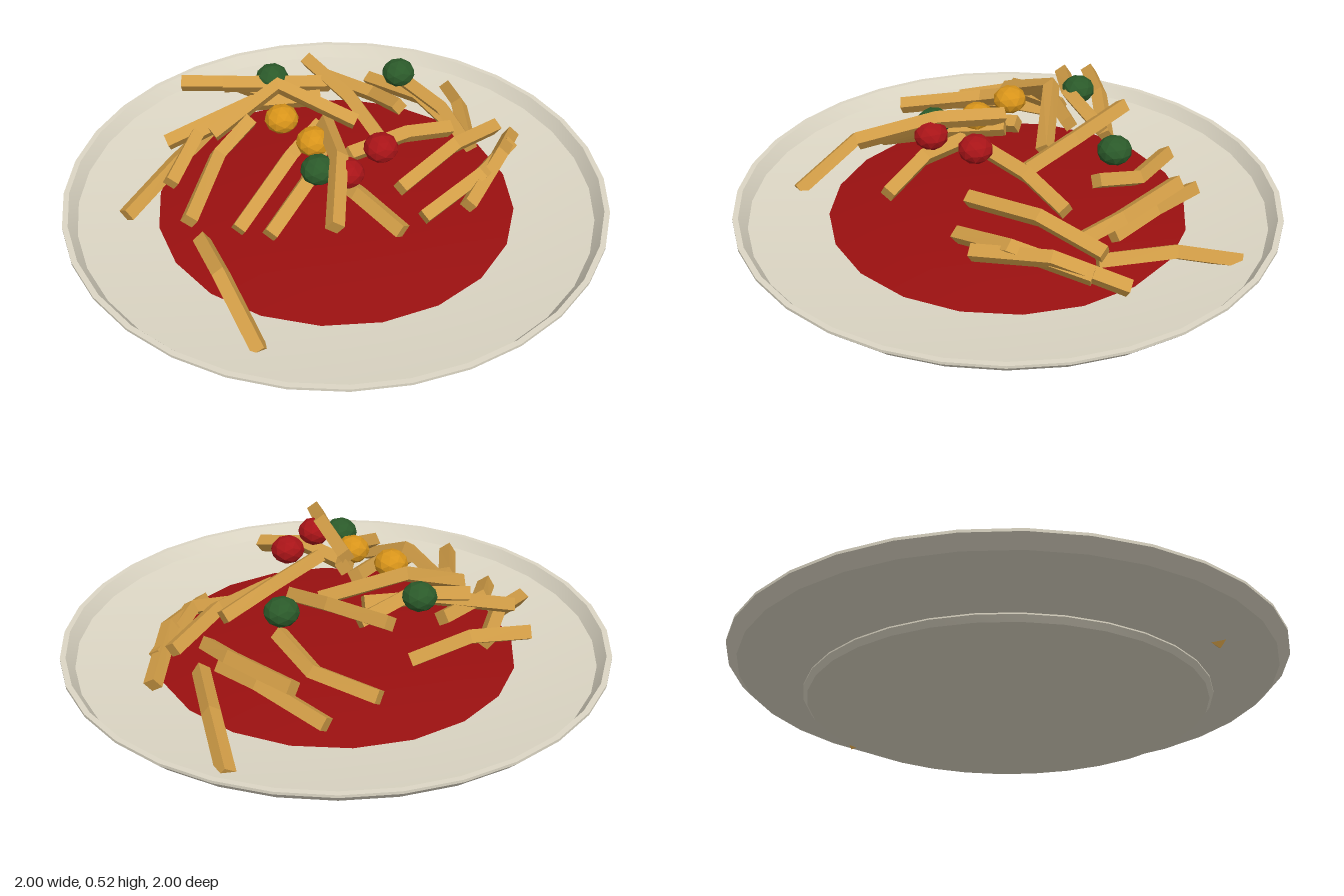
import * as THREE from 'three';
import { toCreasedNormals } from 'three/addons/utils/BufferGeometryUtils.js';

const material = (name, color, extra = {}) => {
  const m = new THREE.MeshStandardMaterial({ color, ...extra });
  m.name = name;
  return m;
};

const lathe = (points, segments) => toCreasedNormals(
  new THREE.LatheGeometry(points.map(([r, y]) => new THREE.Vector2(r, y)), segments), 0.45);

// Bent bar with a diamond cross-section, mitred along its path and capped at both ends
function barGeometry(path, radius) {
  const points = path.map((p) => new THREE.Vector3(...p));
  const last = points.length - 1;
  const up = new THREE.Vector3(0, 1, 0);
  const positions = [];
  const index = [];
  points.forEach((p, i) => {
    const dir = points[Math.min(i + 1, last)].clone().sub(points[Math.max(i - 1, 0)]).normalize();
    const side = dir.clone().cross(up).normalize();
    const top = side.clone().cross(dir);
    for (let k = 0; k < 4; k++) {
      const a = k * Math.PI / 2 + 0.2;
      const c = p.clone().addScaledVector(side, radius * Math.cos(a)).addScaledVector(top, radius * Math.sin(a));
      positions.push(c.x, c.y, c.z);
    }
  });
  for (let i = 0; i < last; i++) {
    for (let k = 0; k < 4; k++) {
      const a = i * 4 + k, b = i * 4 + (k + 1) % 4;
      index.push(a, a + 4, b + 4, a, b + 4, b);
    }
  }
  const e = last * 4;
  index.push(0, 1, 2, 0, 2, 3, e, e + 2, e + 1, e, e + 3, e + 2);
  const geometry = new THREE.BufferGeometry();
  geometry.setAttribute('position', new THREE.Float32BufferAttribute(positions, 3));
  geometry.setIndex(index);
  const flat = geometry.toNonIndexed();
  flat.computeVertexNormals();
  return flat;
}

// Paths of the noodles, grouped by the side of the plate they lie on
const backLeftNoodles = [
  [[0, 0.43, -0.46], [0.11, 0.40, -0.21], [0.17, 0.35, 0]],
  [[0.10, 0.25, -0.60], [0.25, 0.27, -0.40], [0.30, 0.33, -0.21]],
  [[0.29, 0.20, -0.61], [0.43, 0.25, -0.37], [0.50, 0.23, -0.18]],
  [[0.36, 0.29, -0.50], [0.48, 0.28, -0.22], [0.51, 0.25, -0.05]],
  [[0.63, 0.10, -0.61], [0.60, 0.18, -0.37], [0.55, 0.18, -0.10]],
];
const frontLeftNoodles = [
  [[0.01, 0.41, 0.14], [0.25, 0.38, 0.03], [0.44, 0.33, -0.03]],
  [[0.18, 0.29, 0.22], [0.43, 0.32, 0.06], [0.64, 0.27, -0.08]],
  [[0.25, 0.20, 0.29], [0.49, 0.27, 0.19], [0.68, 0.22, -0.02]],
  [[0.41, 0.23, 0.30], [0.60, 0.27, 0.09], [0.73, 0.18, -0.13]],
];
const backRightNoodles = [
  [[-0.48, 0.34, -0.55], [-0.28, 0.34, -0.50], [-0.09, 0.26, -0.44]],
  [[-0.42, 0.22, -0.37], [-0.56, 0.23, -0.20], [-0.77, 0.16, -0.02]],
  [[-0.34, 0.43, -0.37], [-0.15, 0.44, -0.31], [0.06, 0.39, -0.34]],
  [[-0.58, 0.28, -0.26], [-0.25, 0.39, -0.28], [0, 0.40, -0.24]],
  [[-0.60, 0.26, -0.04], [-0.47, 0.32, -0.23], [-0.26, 0.33, -0.33]],
  [[-0.42, 0.36, -0.16], [-0.16, 0.48, -0.24], [0.10, 0.37, -0.10]],
];
const frontRightNoodles = [
  [[-0.57, 0.29, 0.22], [-0.42, 0.34, -0.06], [-0.28, 0.40, -0.16]],
  [[-0.53, 0.18, 0.20], [-0.50, 0.22, 0.43], [-0.42, 0.09, 0.69]],
  [[-0.41, 0.26, 0.27], [-0.18, 0.38, 0.06], [-0.05, 0.41, -0.06]],
  [[-0.32, 0.31, 0.38], [-0.15, 0.39, 0.22], [-0.03, 0.42, 0]],
  [[-0.13, 0.42, 0.52], [-0.05, 0.49, 0.25], [-0.04, 0.46, 0]],
  [[0.11, 0.33, 0.49], [0, 0.38, 0.32], [-0.08, 0.37, 0.14]],
];

export function createModel() {
  const model = new THREE.Group();
  model.name = 'plateOfNoodles';
  const ceramic = material('ceramic', 0xdcd6c4);
  const sauceRed = material('sauceRed', 0x9a1010);
  const noodleGold = material('noodleGold', 0xd09c46);
  const tomatoRed = material('tomatoRed', 0xa81418, { flatShading: true });
  const pepperYellow = material('pepperYellow', 0xd8941a, { flatShading: true });
  const herbGreen = material('herbGreen', 0x2b5a2a, { flatShading: true });

  const add = (name, geometry, mat, parent = model) => {
    const mesh = new THREE.Mesh(geometry, mat);
    mesh.name = name;
    parent.add(mesh);
    return mesh;
  };

  // Plate with a raised lip, standing on a shallow foot
  add('plate', lathe([[0.58, 0.03], [0.61, 0.04], [0.96, 0.115], [1, 0.155], [1, 0.165],
    [0.98, 0.165], [0.95, 0.12], [0.62, 0.075], [0, 0.07]], 32), ceramic);
  add('foot', lathe([[0, 0.005], [0.71, 0.005], [0.725, 0.025], [0.725, 0.03], [0.58, 0.037], [0, 0.037]], 32), ceramic);

  // Low mound of sauce
  add('sauce', lathe([[0.6, 0.075], [0.66, 0.097], [0.5, 0.115], [0.3, 0.127], [0, 0.132]], 20), sauceRed);

  // Heap of noodles
  const noodles = new THREE.Group();
  noodles.name = 'noodles';
  model.add(noodles);
  [backLeftNoodles, frontLeftNoodles, backRightNoodles, frontRightNoodles].flat()
    .forEach((path) => add('noodle', barGeometry(path, 0.033), noodleGold, noodles));

  // Toppings, slightly flattened
  const ball = new THREE.IcosahedronGeometry(0.062, 1);
  const toppings = [
    ['tomato', tomatoRed, [[0.12, 0.17], [-0.03, 0.28]]],
    ['pepper', pepperYellow, [[-0.18, -0.08], [-0.10, 0.08]]],
    ['herb', herbGreen, [[-0.16, -0.35], [0.31, -0.27], [-0.12, 0.24]]],
  ];
  for (const [name, mat, spots] of toppings) {
    for (const [x, z] of spots) {
      const mesh = add(name, ball, mat);
      mesh.position.set(x, 0.445, z);
      mesh.scale.y = 0.82;
    }
  }
  return model;
}
